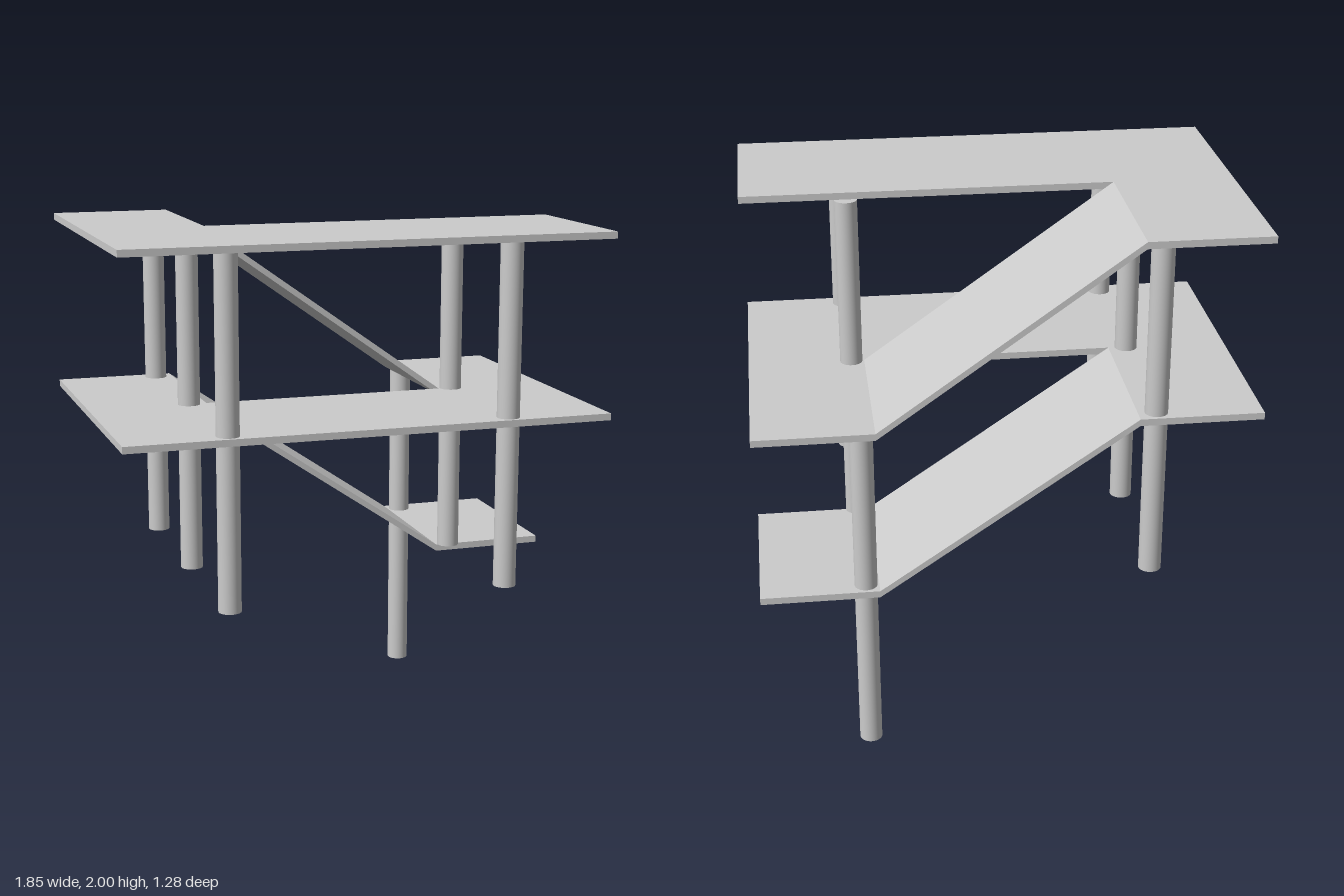
import * as THREE from 'three';

const W = 0.923, D = 0.64, T = 0.026;      // half width, half depth, slab thickness
const RAMP_L = -0.467, RAMP_R = 0.483;     // ramp ends in x
const TOPS = [0.679, 1.325, 2.0];          // upper surface of each level
const COL_X = [-0.535, 0.532], COL_Z = [0.585, 0, -0.585], COL_R = 0.0425;

const material = new THREE.MeshStandardMaterial({ color: 0xcccccc });

function shapeOf(points) {
  return new THREE.Shape(points.map(([x, y]) => new THREE.Vector2(x, y)));
}

// Flat slab from an outline of [x, z] points
function slab(name, outline, top) {
  const shape = shapeOf(outline.map(([x, z]) => [x, -z]));
  const geometry = new THREE.ExtrudeGeometry(shape, { depth: T, bevelEnabled: false });
  geometry.rotateX(-Math.PI / 2).translate(0, top - T, 0);
  const mesh = new THREE.Mesh(geometry, material);
  mesh.name = name;
  return mesh;
}

// Sloping slab between two levels, behind the centre line
function ramp(name, high, low) {
  const shape = shapeOf([[RAMP_L, high - T], [RAMP_R, low - T], [RAMP_R, low], [RAMP_L, high]]);
  const geometry = new THREE.ExtrudeGeometry(shape, { depth: D, bevelEnabled: false });
  geometry.translate(0, 0, -D);
  const mesh = new THREE.Mesh(geometry, material);
  mesh.name = name;
  return mesh;
}

function column(x, z, bottom, top) {
  const geometry = new THREE.CylinderGeometry(COL_R, COL_R, top - bottom, 32);
  const mesh = new THREE.Mesh(geometry, material);
  mesh.position.set(x, (bottom + top) / 2, z);
  mesh.name = 'column';
  return mesh;
}

export function createModel() {
  const group = new THREE.Group();
  group.name = 'parkingStructure';
  const [low, mid, high] = TOPS;

  // Decks: small landing, U-shaped middle, L-shaped top
  group.add(
    slab('lowerLanding', [[RAMP_R, 0], [W, 0], [W, -D], [RAMP_R, -D]], low),
    slab('middleDeck', [[-W, D], [W, D], [W, -D], [RAMP_R, -D],
      [RAMP_R, 0], [RAMP_L, 0], [RAMP_L, -D], [-W, -D]], mid),
    slab('topDeck', [[-W, D], [W, D], [W, 0], [RAMP_L, 0], [RAMP_L, -D], [-W, -D]], high)
  );

  // Ramps
  group.add(ramp('lowerRamp', mid, low), ramp('upperRamp', high, mid));

  // Columns, one per storey; the back left corner reaches the ground instead of the top deck
  const columns = new THREE.Group();
  columns.name = 'columns';
  for (const x of COL_X) {
    for (const z of COL_Z) {
      const corner = x > 0 && z < 0;
      columns.add(column(x, z, low, mid - T));
      columns.add(corner ? column(x, z, 0, low - T) : column(x, z, mid, high - T));
    }
  }
  group.add(columns);
  return group;
}
